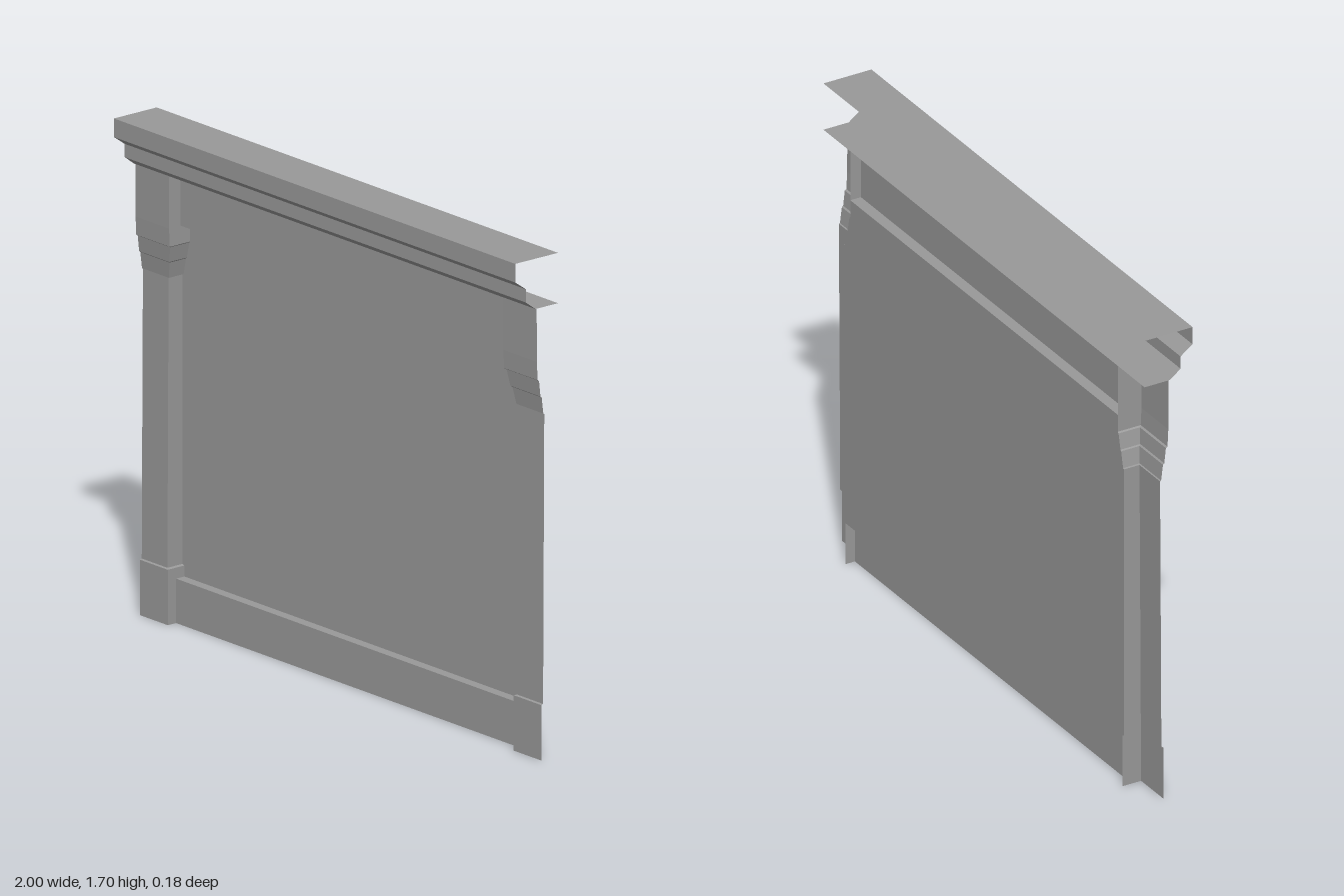
import * as THREE from 'three';

const grey = new THREE.MeshStandardMaterial({ color: 0x999999, side: THREE.DoubleSide });
grey.name = 'grey plaster';

const BACK = -0.09;

// Pilaster profile from floor to cornice: [y, inner edge x, front z]
const PILASTER = [
  [0, 0.862, -0.02], [0.187, 0.862, -0.02], [0.19, 0.872, -0.027],
  [0.6, 0.872, -0.029], [1.168, 0.872, -0.032], [1.17, 0.866, -0.028],
  [1.226, 0.854, -0.021], [1.23, 0.85, -0.016], [1.284, 0.838, -0.01],
  [1.288, 0.833, -0.004], [1.35, 0.833, -0.001], [1.53, 0.833, 0],
];

// Open sheet spanning rows of points; every facet keeps its own normal
function sheet(name, rows, flip = false) {
  const pos = [];
  for (let i = 0; i < rows.length - 1; i++) {
    for (let j = 0; j < rows[i].length - 1; j++) {
      const a = rows[i][j], b = rows[i][j + 1], c = rows[i + 1][j + 1], d = rows[i + 1][j];
      const quad = flip ? [a, c, b, a, d, c] : [a, b, c, a, c, d];
      quad.forEach((p) => pos.push(...p));
    }
  }
  const geo = new THREE.BufferGeometry();
  geo.setAttribute('position', new THREE.Float32BufferAttribute(pos, 3));
  geo.computeVertexNormals();
  const mesh = new THREE.Mesh(geo, grey);
  mesh.name = name;
  return mesh;
}

// Extends a [z, y] profile across the width, listed from bottom to top
function moulding(name, profile, halfWidth) {
  return sheet(name, profile.map(([z, y]) => [[-halfWidth, y, z], [halfWidth, y, z]]));
}

export function createModel() {
  const group = new THREE.Group();
  group.name = 'wallPanel';

  // Pilasters: front face and inner return, open at the outer side and back
  for (const s of [-1, 1]) {
    const rows = PILASTER.map(([y, x, z]) => [[s, y, z], [s * x, y, z], [s * x, y, BACK]]);
    group.add(sheet(s > 0 ? 'leftPilaster' : 'rightPilaster', rows, s > 0));
  }

  // Recessed field, fitted to the inner edges of the pilasters
  const field = PILASTER.filter(([y]) => y > 0.15 && y < 1.4).map(([y, x]) => [[-x, y, BACK], [x, y, BACK]]);
  field.unshift([[-0.862, 0.15, BACK], [0.862, 0.15, BACK]]);
  group.add(sheet('recessedField', field));

  // Baseboard and frieze with their ledges
  group.add(moulding('baseboard', [[-0.055, 0], [-0.055, 0.15], [BACK, 0.15]], 0.862));
  group.add(moulding('frieze', [[BACK, 1.35], [-0.05, 1.35], [-0.05, 1.53]], 0.833));

  // Stepped cornice, open at the ends
  group.add(moulding('cornice', [
    [BACK, 1.53], [0.005, 1.53], [0.045, 1.56], [0.045, 1.605],
    [0.09, 1.637], [0.09, 1.7], [BACK, 1.7],
  ], 1));

  return group;
}
